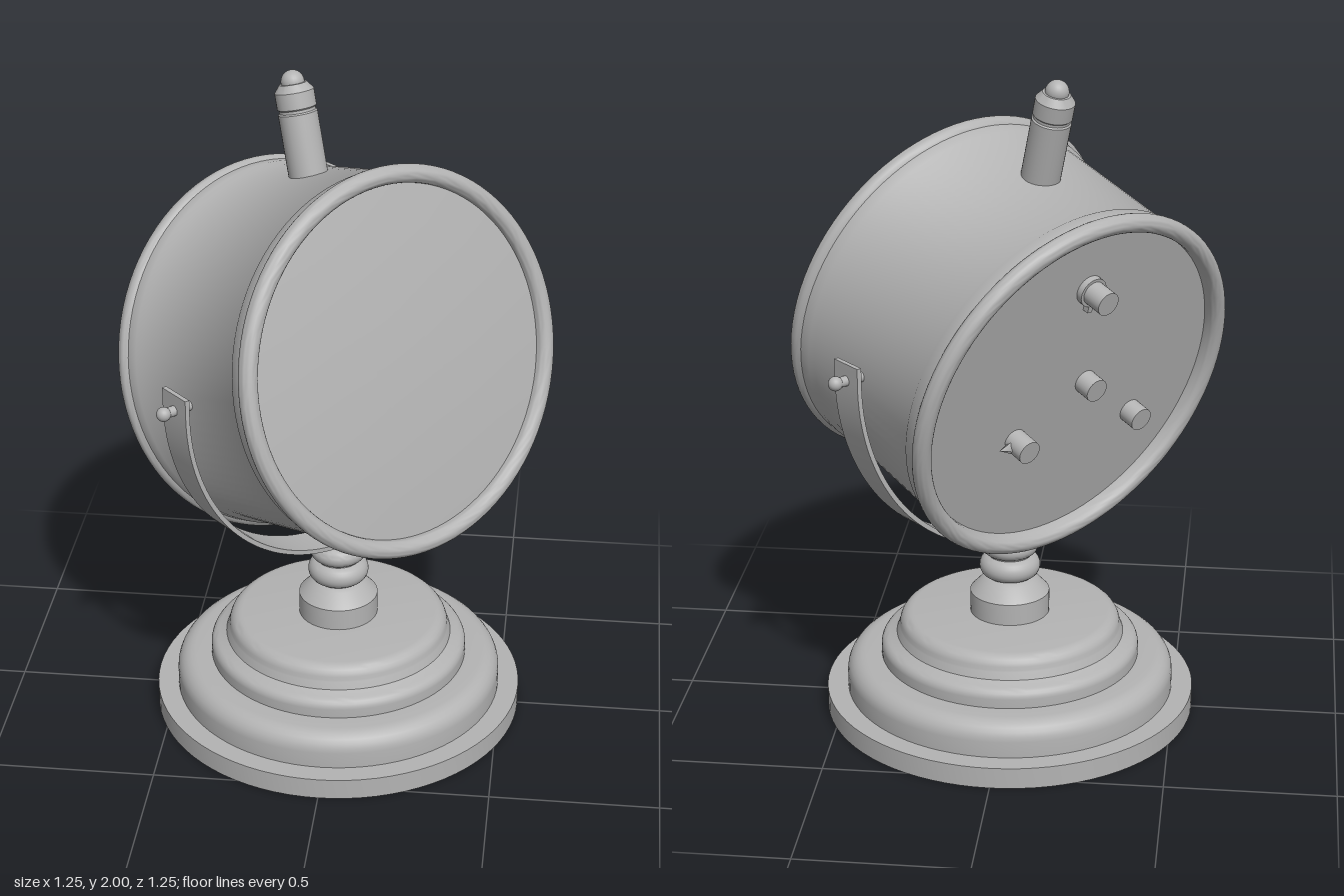
import * as THREE from 'three';
import { toCreasedNormals } from 'three/addons/utils/BufferGeometryUtils.js';

const grey = new THREE.MeshStandardMaterial({ color: 0xb3b3b3 });
grey.name = 'grey metal';

const TILT = THREE.MathUtils.degToRad(15);
const PIVOT_Y = 1.19;

function add(parent, name, geometry, x = 0, y = 0, z = 0) {
  const mesh = new THREE.Mesh(geometry, grey);
  mesh.name = name;
  mesh.position.set(x, y, z);
  parent.add(mesh);
  return mesh;
}

// turned part from [radius, height] pairs, listed bottom to top
function turned(points, segments = 64) {
  const profile = points.map(([r, y]) => new THREE.Vector2(r, y));
  return toCreasedNormals(new THREE.LatheGeometry(profile, segments), 0.6);
}

// points on a circular arc of a profile, angles in degrees
function arc(cx, cy, r, from, to, steps = 10) {
  return Array.from({ length: steps + 1 }, (_, i) => {
    const a = THREE.MathUtils.degToRad(from + (to - from) * i / steps);
    return [cx + r * Math.cos(a), cy + r * Math.sin(a)];
  });
}

function buildStand(model) {
  add(model, 'steppedBase', turned([
    [0, 0], [0.56, 0], [0.56, 0.065], [0.497, 0.065],
    ...arc(0.442, 0.115, 0.055, 0, 90, 6),
    [0.392, 0.17], [0.392, 0.195], ...arc(0.362, 0.198, 0.03, 0, 80, 5),
    [0.345, 0.238], [0.337, 0.26], ...arc(0.295, 0.265, 0.04, 0, 90, 6),
    [0, 0.305],
  ], 80));
  add(model, 'column', turned([
    [0.12, 0.3], [0.12, 0.372], [0.083, 0.412], [0.07, 0.418],
    ...arc(0.056, 0.455, 0.036, -75, 75), [0.066, 0.492],
    ...arc(0.056, 0.522, 0.03, -70, 75), [0.05, 0.558], [0, 0.56],
  ], 48));
  add(model, 'columnBolt', new THREE.SphereGeometry(0.034, 24, 16), 0, 0.57, 0);
}

function buildYoke(head) {
  // flat U band hanging from the two pivots
  const shape = new THREE.Shape();
  shape.moveTo(-0.588, 0.05);
  shape.lineTo(-0.588, 0);
  shape.absellipse(0, 0, 0.588, 0.628, Math.PI, 2 * Math.PI, false);
  shape.lineTo(0.588, 0.05);
  shape.lineTo(0.574, 0.05);
  shape.lineTo(0.574, 0);
  shape.absellipse(0, 0, 0.574, 0.614, 2 * Math.PI, Math.PI, true);
  shape.lineTo(-0.574, 0.05);
  shape.closePath();
  const band = new THREE.ExtrudeGeometry(shape, { depth: 0.11, bevelEnabled: false, curveSegments: 40 });
  band.translate(0, 0, -0.055);
  add(head, 'yoke', toCreasedNormals(band, 0.5));

  for (const side of [-1, 1]) {
    const stem = add(head, 'pivotStem', new THREE.CylinderGeometry(0.015, 0.015, 0.1, 20), side * 0.57, 0, 0);
    stem.rotation.z = Math.PI / 2;
    add(head, 'pivotKnob', new THREE.SphereGeometry(0.021, 20, 14), side * 0.624, 0, 0);
  }
}

function buildDrum(drum) {
  // body with shoulders and rolled rims, recessed back and slightly domed front
  const body = add(drum, 'drumBody', turned([
    [0, -0.28], [0.508, -0.28],
    ...arc(0.535, -0.3, 0.027, -180, 60, 16),
    [0.546, -0.24], [0.536, -0.225],
    [0.536, 0.225], [0.546, 0.24],
    ...arc(0.535, 0.3, 0.027, -60, 180, 16),
    [0.508, 0.295],
  ], 96));
  body.rotation.x = Math.PI / 2;

  const lens = add(drum, 'frontLens', turned([
    [0.512, 0.295], [0.4, 0.304], [0.27, 0.311], [0.13, 0.316], [0, 0.317],
  ], 96));
  lens.rotation.x = Math.PI / 2;

  // top handle with a cap and a round tip
  add(drum, 'handle', turned([
    [0.057, 0.5], [0.057, 0.712], [0.053, 0.716], [0.053, 0.724],
    [0.057, 0.728], [0.057, 0.775], [0.04, 0.797], [0, 0.797],
  ], 32));
  add(drum, 'handleTip', new THREE.SphereGeometry(0.034, 24, 16), 0, 0.801, 0);
}

function buildBackKnobs(drum) {
  // x, y, length on the back plate
  const knobs = [[0, 0.32, 0.085], [-0.06, -0.005, 0.055], [-0.27, -0.165, 0.055], [0.17, -0.145, 0.07]];
  for (const [x, y, length] of knobs) {
    const knob = add(drum, 'backKnob', new THREE.CylinderGeometry(0.036, 0.036, length, 28), x, y, -0.28 - length / 2);
    knob.rotation.x = Math.PI / 2;
  }
  // collar under the top knob and pointer beside the lower one
  const collar = add(drum, 'knobCollar', new THREE.CylinderGeometry(0.045, 0.045, 0.02, 28), 0, 0.32, -0.29);
  collar.rotation.x = Math.PI / 2;
  add(drum, 'knobTab', new THREE.BoxGeometry(0.016, 0.03, 0.02), 0, 0.27, -0.29);
  const pointer = add(drum, 'knobPointer', new THREE.ConeGeometry(0.025, 0.05, 4), 0.215, -0.15, -0.3);
  pointer.rotation.z = -Math.PI / 2;
}

export function createModel() {
  const model = new THREE.Group();
  model.name = 'swivelLamp';
  buildStand(model);

  const head = new THREE.Group();
  head.name = 'head';
  head.position.y = PIVOT_Y;
  head.rotation.y = Math.PI / 4;
  model.add(head);
  buildYoke(head);

  const drum = new THREE.Group();
  drum.name = 'drum';
  drum.rotation.x = -TILT;
  head.add(drum);
  buildDrum(drum);
  buildBackKnobs(drum);
  return model;
}
